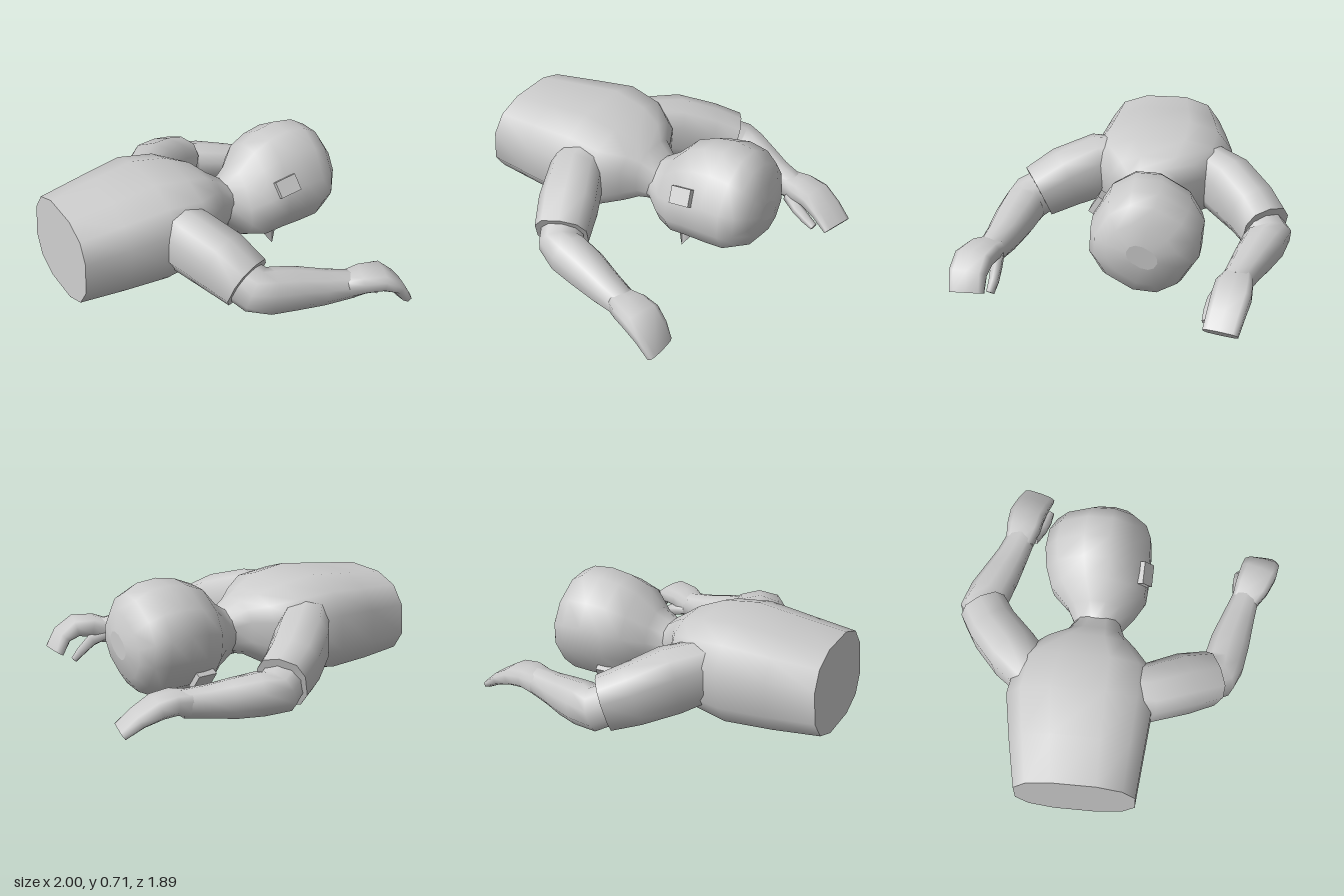
import * as THREE from 'three';

const material = new THREE.MeshStandardMaterial({ color: 0xcccccc });

// Loft of rings [x, y, z, halfWidth, halfHeight]; power < 1 squares the section.
// Rings face along the path unless a fixed direction is given.
function loft(name, rings, { sides = 10, power = 1, dir = null } = {}) {
  const up = new THREE.Vector3(0, 1, 0);
  const centres = rings.map(r => new THREE.Vector3(r[0], r[1], r[2]));
  const last = rings.length - 1;
  const pos = [], index = [];
  const soften = v => Math.sign(v) * Math.abs(v) ** power;
  rings.forEach(([, , , w, h], i) => {
    const t = dir ? dir.clone() : centres[Math.min(i + 1, last)].clone().sub(centres[Math.max(i - 1, 0)]);
    t.normalize();
    const s = up.clone().cross(t).normalize();
    const n = t.clone().cross(s);
    for (let j = 0; j < sides; j++) {
      const a = (j + 0.5) / sides * Math.PI * 2;
      const p = centres[i].clone()
        .addScaledVector(s, soften(Math.cos(a)) * w)
        .addScaledVector(n, soften(Math.sin(a)) * h);
      pos.push(p.x, p.y, p.z);
    }
  });
  for (let i = 0; i < last; i++) {
    for (let j = 0; j < sides; j++) {
      const k = (j + 1) % sides;
      const a = i * sides + j, b = i * sides + k, c = b + sides, d = a + sides;
      index.push(a, b, c, a, c, d);
    }
  }
  // flat caps with their own corners, so the rims stay sharp
  for (const end of [0, last]) {
    const base = pos.length / 3;
    pos.push(...centres[end].toArray());
    pos.push(...pos.slice(end * sides * 3, (end + 1) * sides * 3));
    for (let j = 0; j < sides; j++) {
      const a = base + 1 + j, b = base + 1 + (j + 1) % sides;
      if (end) index.push(base, a, b);
      else index.push(base, b, a);
    }
  }
  const geometry = new THREE.BufferGeometry();
  geometry.setAttribute('position', new THREE.Float32BufferAttribute(pos, 3));
  geometry.setIndex(index);
  geometry.computeVertexNormals();
  const mesh = new THREE.Mesh(geometry, material);
  mesh.name = name;
  return mesh;
}

function createTorso() {
  // x, bottom, top, right edge, left edge
  const sections = [
    [-0.985, 0.08, 0.59, -0.485, 0.215],
    [-0.72, 0.07, 0.625, -0.54, 0.24],
    [-0.46, 0.07, 0.66, -0.585, 0.265],
    [-0.25, 0.11, 0.63, -0.55, 0.25],
    [-0.11, 0.16, 0.58, -0.43, 0.13],
    [-0.04, 0.2, 0.53, -0.29, 0.06],
    [0.05, 0.22, 0.47, -0.235, 0.025],
  ];
  const rings = sections.map(([x, y0, y1, z0, z1]) =>
    [x, (y0 + y1) / 2, (z0 + z1) / 2, (z1 - z0) / 2, (y1 - y0) / 2]);
  return loft('torso', rings, { sides: 12, power: 0.76, dir: new THREE.Vector3(1, -0.06, 0) });
}

function createHead() {
  const head = new THREE.Group();
  head.name = 'head';
  // x, face side, back of the head, half width
  const sections = [
    [-0.06, -0.18, 0.07, 0.13],
    [0.03, -0.19, 0.08, 0.13],
    [0.13, -0.28, 0.15, 0.18],
    [0.23, -0.31, 0.26, 0.27],
    [0.34, -0.3, 0.31, 0.295],
    [0.46, -0.295, 0.335, 0.305],
    [0.58, -0.285, 0.32, 0.3],
    [0.66, -0.24, 0.27, 0.27],
    [0.715, -0.16, 0.17, 0.2],
    [0.74, -0.05, 0.07, 0.09],
  ];
  const rings = sections.map(([x, f, b, w]) => [x, (f + b) / 2, 0, w, (b - f) / 2]);
  head.add(loft('skull', rings, { sides: 12, power: 0.87, dir: new THREE.Vector3(1, 0, 0) }));

  // ears, slightly tilted
  for (const side of [-1, 1]) {
    const ear = new THREE.Mesh(new THREE.BoxGeometry(0.13, 0.1, 0.04), material);
    ear.name = side > 0 ? 'leftEar' : 'rightEar';
    ear.position.set(0.335, -0.05, side * 0.295);
    ear.rotation.set(0, side * -0.12, 0.15);
    head.add(ear);
  }

  // nose wedge
  const nose = new THREE.Mesh(new THREE.ConeGeometry(0.08, 0.14, 4), material);
  nose.name = 'nose';
  nose.position.set(0.29, -0.305, 0);
  nose.rotation.x = Math.PI;
  head.add(nose);

  // face turned down and towards the front
  head.position.set(0, 0.38, -0.13);
  head.rotation.x = -0.55;
  return head;
}

function createArm(name, { sleeve, forearm, hand, thumb }) {
  const arm = new THREE.Group();
  arm.name = name;
  arm.add(
    loft('sleeve', sleeve, { power: 0.78 }),
    loft('forearm', forearm, { power: 0.9 }),
    loft('hand', hand, { power: 0.68 }),
    loft('thumb', thumb, { sides: 6 }),
  );
  return arm;
}

export function createModel() {
  const model = new THREE.Group();
  model.name = 'proneFigure';
  model.add(createTorso(), createHead());

  model.add(createArm('leftArm', {
    sleeve: [
      [-0.38, 0.42, -0.02, 0.12, 0.13],
      [-0.35, 0.385, 0.22, 0.16, 0.19],
      [-0.26, 0.335, 0.42, 0.17, 0.175],
      [-0.19, 0.265, 0.575, 0.155, 0.15],
    ],
    forearm: [
      [-0.27, 0.31, 0.44, 0.12, 0.12],
      [-0.16, 0.235, 0.62, 0.13, 0.13],
      [-0.08, 0.215, 0.65, 0.125, 0.13],
      [0.06, 0.2, 0.68, 0.12, 0.12],
      [0.22, 0.175, 0.72, 0.1, 0.1],
      [0.39, 0.165, 0.765, 0.08, 0.075],
    ],
    hand: [
      [0.35, 0.165, 0.755, 0.08, 0.07],
      [0.43, 0.2, 0.79, 0.105, 0.06],
      [0.53, 0.205, 0.825, 0.115, 0.055],
      [0.61, 0.155, 0.845, 0.11, 0.04],
      [0.665, 0.06, 0.845, 0.1, 0.03],
    ],
    thumb: [
      [0.39, 0.15, 0.72, 0.04, 0.04],
      [0.48, 0.13, 0.71, 0.035, 0.04],
      [0.55, 0.07, 0.715, 0.03, 0.03],
      [0.59, 0.02, 0.73, 0.025, 0.02],
    ],
  }));

  model.add(createArm('rightArm', {
    sleeve: [
      [-0.36, 0.4, -0.38, 0.13, 0.17],
      [-0.18, 0.36, -0.57, 0.155, 0.19],
      [-0.02, 0.3, -0.71, 0.15, 0.17],
      [0.11, 0.255, -0.79, 0.145, 0.15],
    ],
    forearm: [
      [0.02, 0.28, -0.73, 0.12, 0.12],
      [0.155, 0.22, -0.81, 0.135, 0.12],
      [0.24, 0.215, -0.78, 0.125, 0.12],
      [0.38, 0.2, -0.725, 0.11, 0.11],
      [0.5, 0.195, -0.68, 0.095, 0.09],
      [0.64, 0.195, -0.635, 0.085, 0.075],
    ],
    hand: [
      [0.6, 0.195, -0.645, 0.085, 0.07],
      [0.69, 0.215, -0.63, 0.105, 0.06],
      [0.78, 0.205, -0.62, 0.11, 0.055],
      [0.88, 0.155, -0.595, 0.105, 0.04],
      [0.97, 0.09, -0.57, 0.1, 0.025],
    ],
    thumb: [
      [0.64, 0.17, -0.57, 0.04, 0.04],
      [0.73, 0.14, -0.52, 0.035, 0.035],
      [0.8, 0.11, -0.5, 0.03, 0.03],
      [0.86, 0.085, -0.49, 0.025, 0.02],
    ],
  }));

  return model;
}
